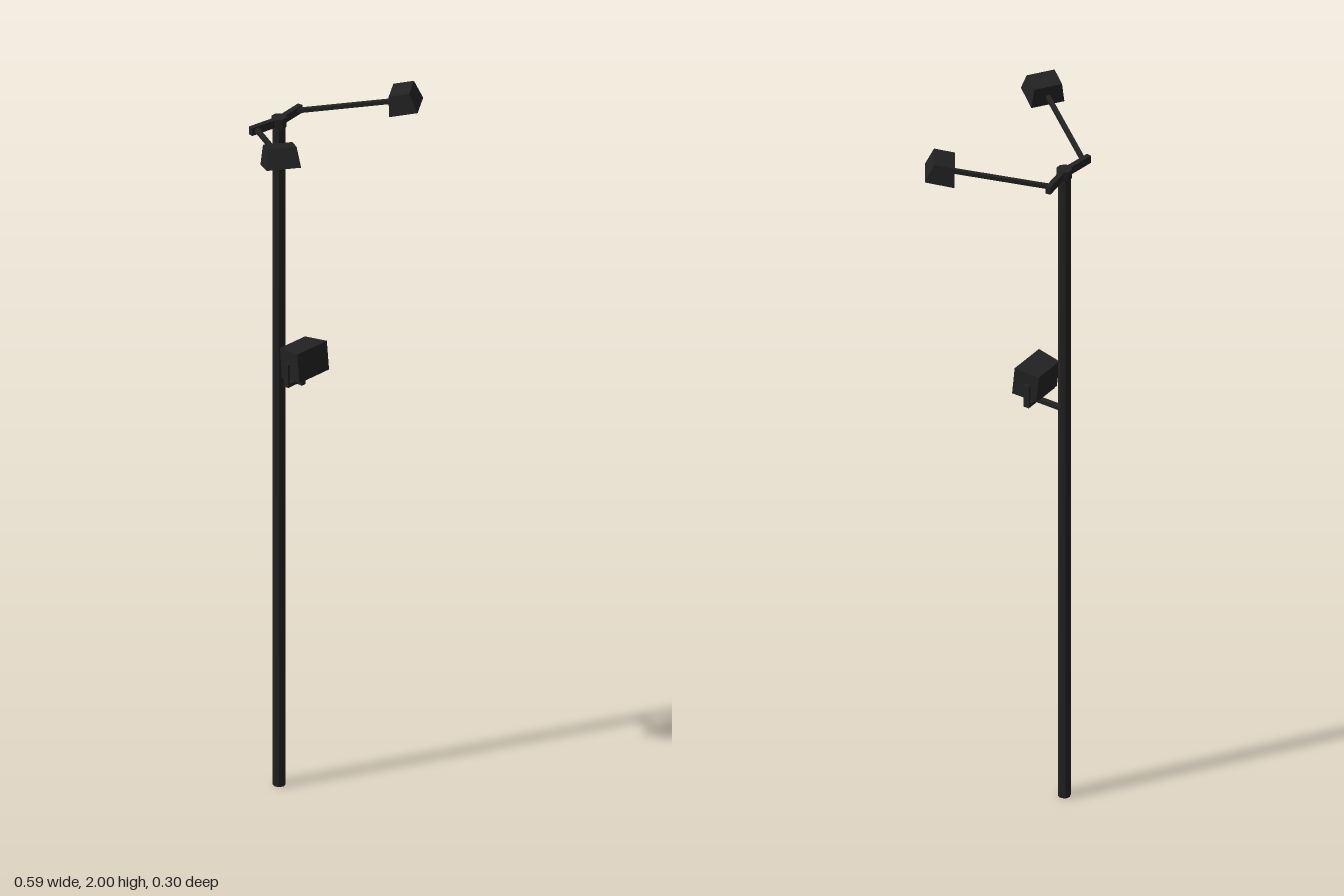
import * as THREE from 'three';

const darkMetal = new THREE.MeshStandardMaterial({ color: 0x222222, flatShading: true });
darkMetal.name = 'dark metal';

const POLE_Z = -0.134;

function part(name, geometry, x = 0, y = 0, z = 0) {
  const mesh = new THREE.Mesh(geometry, darkMetal);
  mesh.name = name;
  mesh.position.set(x, y, z);
  return mesh;
}

// Box whose top is scaled down to (topW, topD)
function frustum(w, d, h, topW, topD) {
  const geo = new THREE.BoxGeometry(w, h, d);
  const p = geo.attributes.position;
  for (let i = 0; i < p.count; i++) {
    if (p.getY(i) > 0) {
      p.setX(i, Math.sign(p.getX(i)) * topW / 2);
      p.setZ(i, Math.sign(p.getZ(i)) * topD / 2);
    }
  }
  geo.computeVertexNormals();
  return geo.toNonIndexed();
}

// Rectangular bar running between two points
function bar(name, a, b, w, h) {
  const from = new THREE.Vector3(...a), to = new THREE.Vector3(...b);
  const mesh = part(name, new THREE.BoxGeometry(w, h, from.distanceTo(to)));
  mesh.position.copy(from).lerp(to, 0.5);
  mesh.lookAt(to);
  return mesh;
}

export function createModel() {
  const model = new THREE.Group();
  model.name = 'floodlightPole';

  // Pole and top hub
  model.add(part('pole', new THREE.CylinderGeometry(0.017, 0.017, 1.9, 8), 0, 0.95, POLE_Z));
  const hub = part('hub', new THREE.CylinderGeometry(0.0205, 0.0205, 0.026, 8), 0, 1.904, POLE_Z);
  hub.rotation.y = Math.PI / 8;
  model.add(hub);

  // Crossbar halves, thin arms and tilted downward-facing lamps
  for (const [side, s] of [['left', 1], ['right', -1]]) {
    model.add(bar(side + 'Crossbar', [0, 1.904, POLE_Z], [s * 0.093, 1.904, -0.147], 0.014, 0.022));
    model.add(bar(side + 'Arm', [s * 0.076, 1.905, -0.141], [s * 0.217, 1.953, 0.068], 0.011, 0.011));

    const lamp = new THREE.Group();
    lamp.name = side + 'Lamp';
    lamp.position.set(s * 0.231, 1.963, 0.089);
    lamp.rotation.set(-0.23, s * 0.6, 0, 'YXZ');
    lamp.add(part('lampHousing', frustum(0.091, 0.077, 0.054, 0.077, 0.055)));
    model.add(lamp);
  }

  // Forward-facing floodlight halfway up, narrower at the back
  const housing = part('floodlightHousing', frustum(0.111, 0.08, 0.07, 0.094, 0.078), 0, 1.25, -0.048);
  housing.rotation.x = -Math.PI / 2;
  const flood = new THREE.Group();
  flood.name = 'floodlight';
  flood.position.set(0, 1.25, -0.048);
  housing.position.set(0, 0, 0);
  // Wide end turned to the front and tipped slightly up
  flood.rotation.x = -0.1;
  flood.add(housing);
  model.add(flood);

  // Yoke bracket carrying the floodlight
  model.add(bar('bracketArm', [0, 1.182, POLE_Z], [0, 1.182, -0.047], 0.013, 0.012));
  model.add(part('bracketBase', new THREE.BoxGeometry(0.116, 0.01, 0.016), 0, 1.193, -0.055));
  for (const s of [-1, 1]) {
    model.add(part('bracketUpright', new THREE.BoxGeometry(0.007, 0.062, 0.016), s * 0.0545, 1.223, -0.055));
  }
  return model;
}
